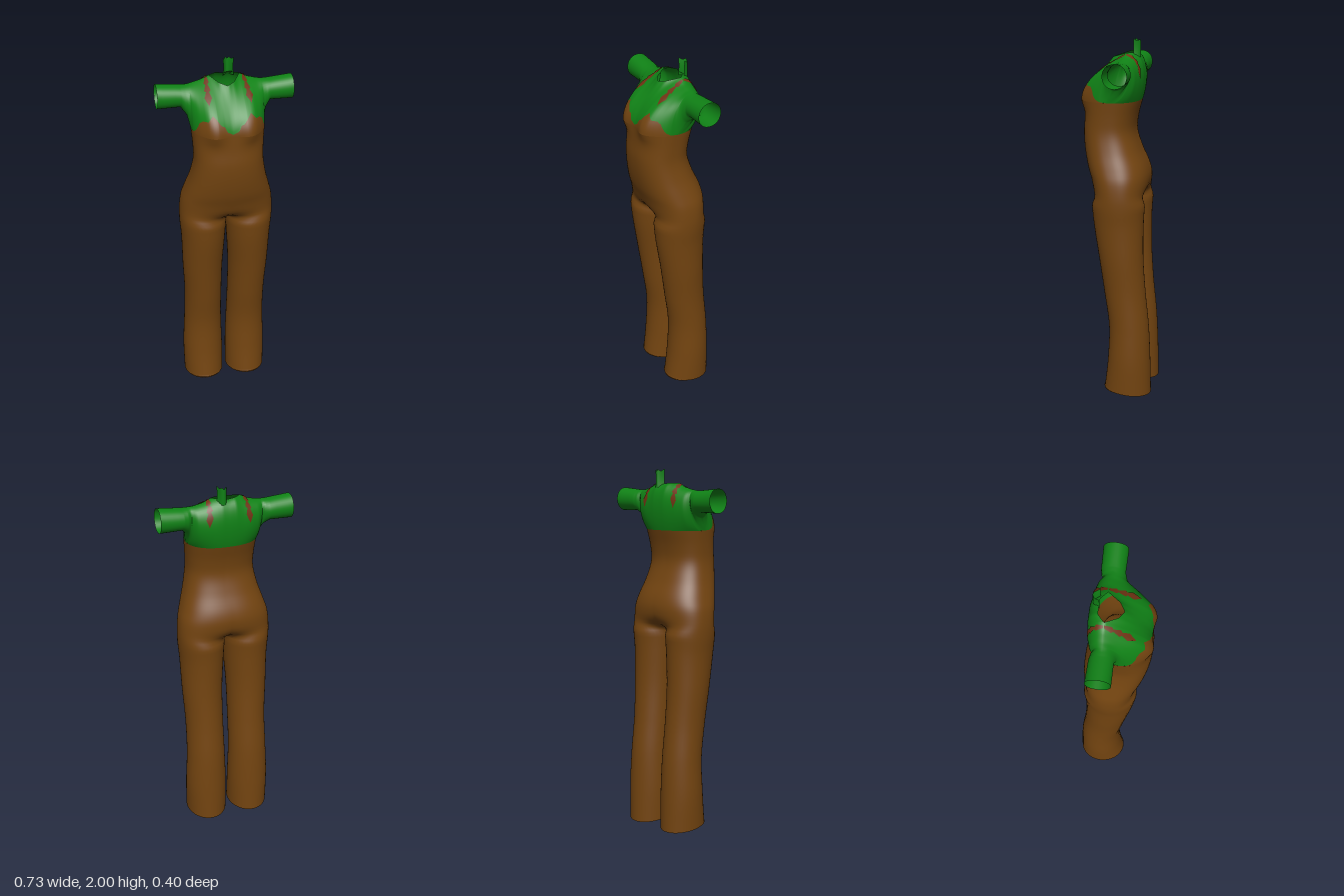
import * as THREE from 'three';
import { mergeGeometries, mergeVertices } from 'three/addons/utils/BufferGeometryUtils.js';

const mat = (name, color) => new THREE.MeshStandardMaterial({ name, color, side: THREE.DoubleSide });

// Interpolated lookup in a table whose first column is the key
function lookup(rows, Kind) {
  const n = rows[0].length - 1;
  const it = new Kind(rows.map(r => r[0]), rows.flatMap(r => r.slice(1)), n, new Float32Array(n));
  return v => Array.from(it.evaluate(v));
}

// Surface grid over u, v in 0..1; outside is du x dv
function grid(fn, nu, nv, flip = false) {
  const pos = [], idx = [];
  for (let j = 0; j <= nv; j++) for (let i = 0; i <= nu; i++) pos.push(...fn(i / nu, j / nv));
  for (let j = 0; j < nv; j++) for (let i = 0; i < nu; i++) {
    const a = j * (nu + 1) + i, b = a + 1, c = a + nu + 1, d = c + 1;
    if (flip) idx.push(a, d, b, a, c, d);
    else idx.push(a, b, d, a, d, c);
  }
  const g = new THREE.BufferGeometry();
  g.setAttribute('position', new THREE.Float32BufferAttribute(pos, 3));
  g.setIndex(idx);
  return g;
}

// Surface of the left half plus its mirror image
const both = (fn, nu, nv, flip = false) => [
  grid(fn, nu, nv, flip),
  grid((u, v) => { const p = fn(u, v); return [-p[0], p[1], p[2]]; }, nu, nv, !flip),
];

function weld(parts) {
  const g = mergeVertices(mergeGeometries(parts), 1e-4);
  g.computeVertexNormals();
  return g;
}

// Body rows: y, inner x, outer x, back z, front z, leg share (1 = separate leg)
const bodyRow = lookup([
  [0, .012, .242, -.205, .064, 1],
  [.2, .012, .245, -.2, .042, 1],
  [.4, .018, .237, -.19, .036, 1],
  [.6, .02, .235, -.17, .062, 1],
  [.8, .018, .245, -.157, .09, 1],
  [1, .006, .252, -.157, .12, 1],
  [1.1, 0, .26, -.163, .129, 1],
  [1.16, 0, .26, -.168, .133, .22],
  [1.25, 0, .25, -.17, .15, 0],
  [1.3, 0, .235, -.16, .167, 0],
  [1.4, 0, .205, -.118, .187, 0],
  [1.5, 0, .187, -.09, .194, 0],
  [1.58, 0, .188, -.097, .188, 0],
  [1.67, 0, .195, -.12, .184, 0],
], THREE.CubicInterpolant);

const P = 2.4, RIM = 1.67, RIM_X = .195;
const bulge = (x, y) => .028 * Math.exp(-(((x - .105) / .055) ** 2) - ((y - 1.68) / .05) ** 2);

// Half outline: front centre round the outside to back centre
function bodyPoint(u, v) {
  let y = v * RIM;
  const [xi, xo, zb, zf, share] = bodyRow(y);
  const k = THREE.MathUtils.clamp(share, 0, 1);
  const zc = (zb + zf) / 2, hz = (zf - zb) / 2, inner = Math.max(xi, 0);
  const a = Math.PI * (.5 - u), b = Math.PI * (1 - 2 * u);
  const pw = t => Math.sign(t) * Math.abs(t) ** (2 / P);
  const tx = xo * pw(Math.max(Math.cos(a), 0)), tz = pw(Math.sin(a));
  const lx = (inner + xo) / 2 + (xo - inner) / 2 * Math.cos(b), lz = Math.sin(b);
  const x = tx + (lx - tx) * k, s = tz + (lz - tz) * k;
  const z = zc + hz * s + bulge(x, y) * Math.max(s, 0);
  if (v === 0) y = .015 * (1 + s);   // slanted trouser hem
  return [x, y, z];
}

// Depth of the bust-level rim at x
function rimZ(x, side) {
  const [, , zb, zf] = bodyRow(RIM), s = Math.max(0, 1 - (x / RIM_X) ** P) ** (1 / P);
  return (zb + zf) / 2 + side * (zf - zb) / 2 * s + (side > 0 ? bulge(x, RIM) * s : 0);
}

// Yoke columns: x, then z, y of lower control, upper control and top edge
const frontCol = lookup([
  [0, .182, 1.76, .085, 1.83, .04, 1.895],
  [.04, .188, 1.77, .075, 1.84, .015, 1.905],
  [.08, .195, 1.785, .055, 1.86, -.05, 1.925],
  [.12, .19, 1.785, .045, 1.87, -.05, 1.905],
  [.17, .125, 1.76, .04, 1.87, -.047, 1.892],
  [.195, .07, 1.73, .042, 1.88, -.045, 1.888],
  [.21, .05, 1.74, .04, 1.885, -.045, 1.886],
  [.24, .038, 1.77, .038, 1.886, -.045, 1.886],
  [.365, .04, 1.768, .04, 1.897, -.045, 1.897],
], THREE.LinearInterpolant);
const backCol = lookup([
  [0, -.145, 1.76, -.152, 1.9, -.085, 1.92],
  [.04, -.145, 1.76, -.152, 1.9, -.085, 1.925],
  [.08, -.145, 1.76, -.148, 1.91, -.05, 1.925],
  [.12, -.143, 1.76, -.143, 1.895, -.05, 1.905],
  [.17, -.13, 1.74, -.135, 1.888, -.047, 1.892],
  [.195, -.08, 1.7, -.132, 1.885, -.045, 1.888],
  [.21, -.115, 1.74, -.13, 1.885, -.045, 1.886],
  [.24, -.127, 1.77, -.127, 1.886, -.045, 1.886],
  [.365, -.132, 1.768, -.132, 1.897, -.045, 1.897],
], THREE.LinearInterpolant);
const underArm = lookup([[.195, .032, 1.67], [.21, -.005, 1.735], [.24, -.045, 1.77], [.365, -.045, 1.768]],
  THREE.LinearInterpolant);

function yokePoint(x, t, side) {
  const [z1, y1, z2, y2, z3, y3] = (side > 0 ? frontCol : backCol)(x);
  const [z0, y0] = x <= RIM_X ? [rimZ(x, side), RIM] : underArm(x);
  const s = 1 - t, bez = (a, b, c, d) => s * s * s * a + 3 * s * s * t * b + 3 * s * t * t * c + t * t * t * d;
  return [x, bez(y0, y1, y2, y3), bez(z0, z1, z2, z3)];
}

// Jagged border between cups and yoke, as a share of the front column
const cupEdge = lookup([[0, .05], [.03, .1], [.045, .2], [.06, .21], [.1, .36], [.125, .26], [.15, .27],
  [.165, .23], [.18, .1], [.195, 0], [.365, 0]], THREE.LinearInterpolant);

// Column positions, each step split in two
const keys = [0, .03, .045, .06, .07, .08, .1, .125, .15, .165, .18, .19, .195, .21, .225, .24, .3, .365];
const xs = keys.flatMap((k, i) => i ? [(keys[i - 1] + k) / 2, k] : [k]);
const cupXs = xs.filter(x => x <= RIM_X);
const at = (list, u) => list[Math.round(u * (list.length - 1))];

// Ragged half width along a strap opening
const raggedWidth = lookup([[0, 0], [.25, .019], [.45, .008], [.5, .017], [.72, .005], [.76, .014], [1, .006]],
  THREE.LinearInterpolant);

export function createModel() {
  const brown = mat('brown cloth', 0x734410);
  const green = mat('green cloth', 0x108216);
  const rust = mat('rust brown cloth', 0x6e3212);
  const model = new THREE.Group();
  model.name = 'outfit';
  const add = (name, geometry, material) => {
    const m = new THREE.Mesh(geometry, material);
    m.name = name;
    model.add(m);
  };

  // Trousers and bodice in one continuous shell
  add('trousersAndBodice', weld(both(bodyPoint, 40, 84)), brown);

  // Pointed cups rising over the chest
  add('cups', weld(both((u, v) => {
    const x = at(cupXs, u);
    return yokePoint(x, v * cupEdge(x)[0], 1);
  }, cupXs.length - 1, 8)), brown);

  // Yoke with open neck and short open sleeves
  const n = xs.length - 1;
  add('yokeAndSleeves', weld([
    ...both((u, v) => {
      const x = at(xs, u), e = cupEdge(x)[0];
      return yokePoint(x, e + (1 - e) * v, 1);
    }, n, 18),
    ...both((u, v) => yokePoint(at(xs, u), v, -1), n, 18, true),
  ]), green);

  // Ragged strap patches over each shoulder
  for (const side of [1, -1]) {
    const start = side > 0 ? .5 : .4;
    add(side > 0 ? 'frontStraps' : 'backStraps', weld(both((u, v) => {
      const x = .112 - .012 * v + (u * 2 - 1) * raggedWidth(v)[0];
      const p = yokePoint(x, start + (1 - start) * v, side);
      return [p[0], p[1] + .003, p[2] + side * .003];
    }, 4, 40, side < 0)), rust);
  }

  // Torn collar tab standing at the back of the neck
  const tab = grid((u, v) => {
    const jag = [0, -.012, -.004, -.015, -.006, -.012, 0][Math.round(u * 6)];
    const flare = 1 + .15 * (2 * v - 1) ** 2;
    return [.03 + (u - .5) * .052 * flare, 1.9 + v * (.1 + jag), -.118 + .035 * (2 * u - 1) ** 2];
  }, 6, 6, true);
  tab.computeVertexNormals();
  add('collarTab', tab, green);

  return model;
}
